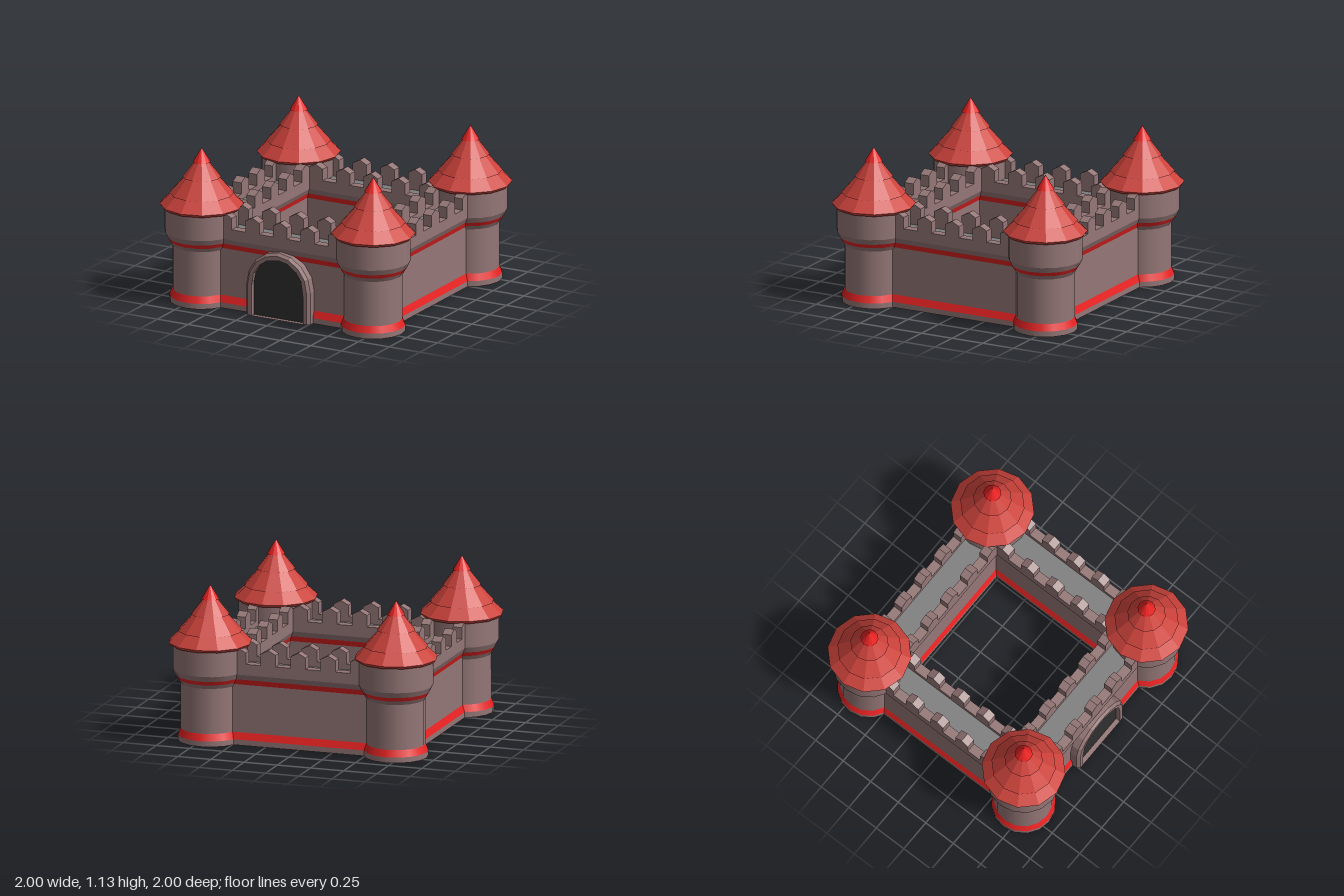
import * as THREE from 'three';

const make = (name, color, side = THREE.FrontSide) => {
  const m = new THREE.MeshStandardMaterial({ color, side });
  m.name = name;
  return m;
};

export function createModel() {
  const stone = make('stone', 0x957777, THREE.DoubleSide);
  const red = make('bright red', 0xe82222, THREE.DoubleSide);
  const tile = make('roof red', 0xcc423b, THREE.DoubleSide);
  const grey = make('walkway grey', 0x7e7e7e);
  const dark = make('gate dark', 0x303030);

  const castle = new THREE.Group();
  castle.name = 'castle';
  const add = (parent, name, geometry, material, x = 0, y = 0, z = 0) => {
    const mesh = new THREE.Mesh(geometry, material);
    mesh.name = name;
    mesh.position.set(x, y, z);
    parent.add(mesh);
    return mesh;
  };
  const faceted = (geometry) => {
    const g = geometry.toNonIndexed();
    g.computeVertexNormals();
    return g;
  };

  // Tower: stacked bands [bottom radius, bottom y, top radius, top y, material]
  const towerBands = [
    ['towerFoot', 0.23, 0, 0.23, 0.04, stone],
    ['towerBaseStripe', 0.23, 0.04, 0.21, 0.09, red],
    ['towerShaft', 0.21, 0.09, 0.21, 0.42, stone],
    ['towerFlareLower', 0.21, 0.42, 0.228, 0.45, stone],
    ['towerFlareStripe', 0.228, 0.45, 0.246, 0.48, red],
    ['towerFlareUpper', 0.246, 0.48, 0.265, 0.52, stone],
    ['towerHead', 0.265, 0.52, 0.265, 0.71, stone],
  ];
  // Roof: overlapping twelve-sided tiers
  const roofTiers = [
    ['roofEave', 0.285, 0.70, 0.3, 0.72],
    ['roofLowerTier', 0.3, 0.72, 0.205, 0.81],
    ['roofMiddleTier', 0.23, 0.80, 0.115, 0.93],
    ['roofUpperTier', 0.137, 0.92, 0.045, 1.04],
  ];
  const band = (r0, y0, r1, y1, sides, open) =>
    new THREE.CylinderGeometry(r1, r0, y1 - y0, sides, 1, open).translate(0, (y0 + y1) / 2, 0);

  for (const x of [-0.7, 0.7]) {
    for (const z of [-0.7, 0.7]) {
      const tower = new THREE.Group();
      tower.name = `${z > 0 ? 'front' : 'back'}${x > 0 ? 'Left' : 'Right'}Tower`;
      tower.position.set(x, 0, z);
      for (const [name, r0, y0, r1, y1, mat] of towerBands) add(tower, name, band(r0, y0, r1, y1, 16, true), mat);
      for (const [name, r0, y0, r1, y1] of roofTiers) add(tower, name, faceted(band(r0, y0, r1, y1, 12, false)), tile);
      add(tower, 'roofTip', faceted(band(0.064, 1.03, 0, 1.135, 12, false)), red);
      castle.add(tower);
    }
  }

  // Wall: bands [bottom half thickness, bottom y, top half thickness, top y, material]
  const wallBands = [
    ['wallFoot', 0.14, 0, 0.14, 0.04, stone],
    ['wallBaseStripe', 0.14, 0.04, 0.12, 0.09, red],
    ['wallFace', 0.12, 0.09, 0.12, 0.44, stone],
    ['wallFlareStripe', 0.12, 0.44, 0.136, 0.48, red],
    ['wallFlare', 0.136, 0.48, 0.155, 0.52, stone],
    ['parapetFace', 0.155, 0.52, 0.155, 0.6, stone],
    ['parapetTop', 0.155, 0.6, 0.085, 0.6, stone],
    ['parapetBack', 0.085, 0.6, 0.085, 0.56, stone],
  ];
  const HALF = 0.6;
  const strip = (d0, y0, d1, y1) => {
    const g = new THREE.BufferGeometry();
    g.setAttribute('position', new THREE.Float32BufferAttribute(
      [-HALF, y0, d0, HALF, y0, d0, HALF, y1, d1, -HALF, y1, d1], 3));
    g.setIndex([0, 1, 2, 0, 2, 3]);
    g.computeVertexNormals();
    return g;
  };

  // Merlon: block with a small gabled top
  const outline = new THREE.Shape([
    [-0.057, 0], [0.057, 0], [0.057, 0.085], [0, 0.115], [-0.057, 0.085],
  ].map(([x, y]) => new THREE.Vector2(x, y)));
  const merlon = new THREE.ExtrudeGeometry(outline, { depth: 0.07, bevelEnabled: false }).translate(0, 0, 0.085);

  ['frontWall', 'leftWall', 'backWall', 'rightWall'].forEach((name, i) => {
    const pivot = new THREE.Group();
    pivot.name = name;
    pivot.rotation.y = i * Math.PI / 2;
    // Outer and inner halves are the same shape turned around
    for (const turn of [0, Math.PI]) {
      const half = new THREE.Group();
      half.name = turn ? 'innerSide' : 'outerSide';
      half.position.z = 0.655;
      half.rotation.y = turn;
      for (const [part, d0, y0, d1, y1, mat] of wallBands) add(half, part, strip(d0, y0, d1, y1), mat);
      for (let k = -2; k <= 2; k++) add(half, 'merlon', merlon, stone, k * 0.225, 0.599, 0);
      pivot.add(half);
    }
    add(pivot, 'walkway', new THREE.BoxGeometry(2 * HALF, 0.02, 0.17), grey, 0, 0.55, 0.655);
    castle.add(pivot);
  });

  // Gate: arched frame with a chamfered front edge and a dark door
  const arch = (Type, r) => {
    const p = new Type();
    p.moveTo(r, 0);
    for (let k = 0; k <= 8; k++) p.lineTo(r * Math.cos(k * Math.PI / 8), 0.235 + r * Math.sin(k * Math.PI / 8));
    p.lineTo(-r, 0);
    p.closePath();
    return p;
  };
  const ring = (outer, inner, depth) => {
    const s = arch(THREE.Shape, outer);
    s.holes.push(arch(THREE.Path, inner));
    return new THREE.ExtrudeGeometry(s, { depth, bevelEnabled: false });
  };
  const gate = new THREE.Group();
  gate.name = 'gate';
  const frame = ring(0.26, 0.21, 0.09);
  // Pull the front outer edge inwards to form the chamfer
  const chamfer = ring(0.26, 0.21, 0.02);
  const p = chamfer.attributes.position;
  for (let i = 0; i < p.count; i++) {
    const x = p.getX(i), y = p.getY(i), up = Math.max(y - 0.235, 0);
    if (p.getZ(i) > 0.01 && Math.hypot(x, up) > 0.235) {
      const s = 0.24 / 0.26;
      p.setXY(i, x * s, y > 0.235 ? 0.235 + up * s : y);
    }
  }
  chamfer.computeVertexNormals();
  add(gate, 'gateFrame', frame, stone, 0, 0, 0.74);
  add(gate, 'gateFrameEdge', chamfer, stone, 0, 0, 0.83);
  add(gate, 'gateDoor', new THREE.ShapeGeometry(arch(THREE.Shape, 0.212)), dark, 0, 0, 0.815);
  castle.add(gate);

  return castle;
}
